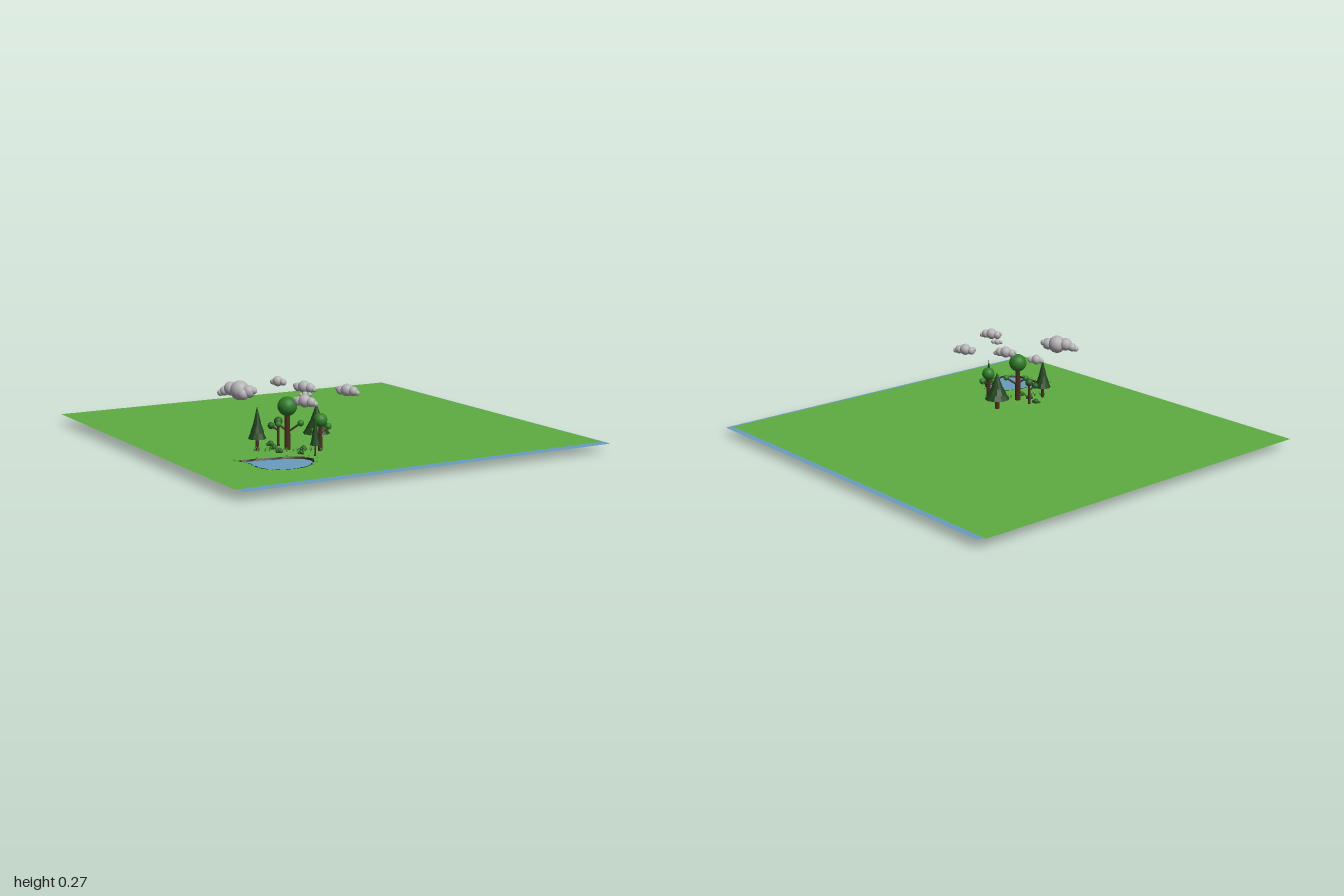
import * as THREE from 'three';

const GROUND_Y = 0.034, WATER_Y = 0.029;
const mat = (color, flat = false, side = THREE.FrontSide) =>
  new THREE.MeshStandardMaterial({ color, flatShading: flat, side });
const M = {
  grass: mat(0x5ead41, false, THREE.DoubleSide),
  water: mat(0x6a9cc0, false, THREE.DoubleSide),
  soil: mat(0x2a1d14, true, THREE.DoubleSide),
  bark: mat(0x4a2f1c),
  needles: mat(0x21451c, true),
  leaves: mat(0x2f7d28),
  bush: mat(0x2b5f22),
  blade: mat(0x4c9636, true, THREE.DoubleSide),
  cloud: mat(0xb5b2b5),
};

function add(parent, name, geometry, material, x = 0, y = 0, z = 0) {
  const mesh = new THREE.Mesh(geometry, material);
  mesh.name = name;
  mesh.position.set(x, y, z);
  parent.add(mesh);
  return mesh;
}

function group(parent, name, x, y, z) {
  const g = new THREE.Group();
  g.name = name;
  g.position.set(x, y, z);
  parent.add(g);
  return g;
}

// Pond outline as [x, z], smoothed through the points
const POND = [[-0.02, 0.625], [0.045, 0.545], [0.14, 0.48], [0.19, 0.497], [0.213, 0.56],
  [0.215, 0.61], [0.18, 0.67], [0.125, 0.695], [0.07, 0.675], [0.03, 0.642]];
const POND_MID = new THREE.Vector2(0.115, 0.6);
const shore = new THREE.CatmullRomCurve3(
  POND.map(([x, z]) => new THREE.Vector3(x, 0, z)), true).getPoints(40).slice(0, 40);

// Flat square turned in plan, with an optional pond opening
function sheet(cx, cz, hole) {
  const half = 0.708, ux = 0.818, uz = 0.575;
  const corners = [[-1, -1], [1, -1], [1, 1], [-1, 1]].map(([a, b]) =>
    new THREE.Vector2(cx + half * (a * ux - b * uz), -(cz + half * (a * uz + b * ux))));
  const shape = new THREE.Shape(corners);
  if (hole) shape.holes.push(new THREE.Path(shore.map((p) => new THREE.Vector2(p.x, -p.z))));
  return new THREE.ShapeGeometry(shape).rotateX(-Math.PI / 2);
}

// Surface through scaled copies of the shoreline: rings are [scale, y]
function pondRings(rings, wobble = 0) {
  const pos = [], idx = [], n = shore.length;
  rings.forEach(([s, y], r) => shore.forEach((p, i) => {
    const k = s + (r ? 0 : wobble * Math.sin(i * 2.3));
    pos.push(POND_MID.x + (p.x - POND_MID.x) * k, y, POND_MID.y + (p.z - POND_MID.y) * k);
  }));
  for (let r = 0; r < rings.length - 1; r++)
    for (let i = 0; i < n; i++) {
      const a = r * n + i, b = r * n + (i + 1) % n;
      idx.push(a, a + n, b, b, a + n, b + n);
    }
  const g = new THREE.BufferGeometry();
  g.setAttribute('position', new THREE.Float32BufferAttribute(pos, 3));
  g.setIndex(idx);
  g.computeVertexNormals();
  return g;
}

function trunk(parent, r, h) {
  add(parent, 'trunk', new THREE.CylinderGeometry(r * 0.75, r, h, 8), M.bark, 0, h / 2, 0);
}

// Conifer: overlapping faceted cones on a short trunk
function conifer(parent, x, z, radius, height) {
  const g = group(parent, 'conifer', x, GROUND_Y, z);
  trunk(g, radius * 0.2, height * 0.4);
  for (let i = 0; i < 3; i++) {
    const r = radius * (1 - i * 0.24), h = height * 0.46;
    const cone = add(g, 'coniferTier', new THREE.ConeGeometry(r, h, 10), M.needles,
      0, height * (0.27 + i * 0.135) + h / 2, 0);
    cone.rotation.y = i * 0.2;
  }
}

// Broadleaf tree: trunk, round crown and small side branches [angle, height, reach, radius]
function broadleaf(parent, x, z, height, radius, branches, leafMat = M.leaves) {
  const g = group(parent, 'broadleafTree', x, GROUND_Y, z);
  trunk(g, Math.max(0.004, radius * 0.34), height - radius);
  add(g, 'crown', new THREE.IcosahedronGeometry(radius, 3), leafMat, 0, height - radius, 0);
  for (const [angle, y, reach, r] of branches) {
    const tip = new THREE.Vector3(Math.cos(angle) * reach, y, Math.sin(angle) * reach);
    const path = new THREE.LineCurve3(new THREE.Vector3(0, y - reach * 0.7, 0), tip);
    add(g, 'branch', new THREE.TubeGeometry(path, 1, 0.0035, 6), M.bark);
    add(g, 'branchLeaves', new THREE.IcosahedronGeometry(r, 2), leafMat, tip.x, tip.y, tip.z);
  }
}

function bush(parent, x, z, r) {
  const g = group(parent, 'bush', x, GROUND_Y, z);
  for (const [dx, dz, s] of [[0, 0, 1], [0.8, 0.3, 0.7], [-0.6, 0.6, 0.65]])
    add(g, 'bushClump', new THREE.IcosahedronGeometry(r * s, 2), M.bush, dx * r, r * s * 0.8, dz * r);
}

function grassTuft(parent, x, z, h) {
  const g = group(parent, 'grassTuft', x, GROUND_Y, z);
  for (let i = 0; i < 5; i++) {
    const blade = add(g, 'grassBlade', new THREE.ConeGeometry(0.0022, h, 3).translate(0, h / 2, 0), M.blade);
    blade.rotation.set(0.45 * Math.sin(i * 1.26), 0, 0.45 * Math.cos(i * 1.26));
  }
}

// Cloud: row of puffs [dx, dy, dz, radius]
function cloud(parent, x, z, puffs) {
  const g = group(parent, 'cloud', x, 0.238, z);
  for (const [dx, dy, dz, r] of puffs)
    add(g, 'cloudPuff', new THREE.SphereGeometry(r, 14, 10), M.cloud, dx, dy, dz);
}

export function createModel() {
  const model = new THREE.Group();
  model.name = 'woodlandScene';

  // Ground, water and pond
  add(model, 'ground', sheet(-0.018, -0.006, true), M.grass, 0, GROUND_Y, 0);
  add(model, 'water', sheet(0.01, -0.008, false), M.water, 0, WATER_Y, 0);
  add(model, 'pondBed', pondRings([[1.0, 0.036], [0.95, 0.027], [0.78, 0.019], [0.55, 0.011],
    [0.3, 0.002], [0.001, 0]], 0.025), M.soil);
  add(model, 'pondBank', pondRings([[1.17, 0.0345], [1.08, 0.037], [0.99, 0.034]], 0.05), M.grass);

  // Trees
  conifer(model, -0.042, 0.445, 0.031, 0.15);
  conifer(model, 0.092, 0.265, 0.047, 0.14);
  conifer(model, 0.17, 0.443, 0.017, 0.135);
  broadleaf(model, 0.042, 0.388, 0.18, 0.033, [[2.8, 0.085, 0.03, 0.011], [-0.4, 0.09, 0.045, 0.011]]);
  broadleaf(model, 0.15, 0.36, 0.128, 0.024, [[-0.9, 0.08, 0.03, 0.011], [2.2, 0.07, 0.025, 0.01]]);
  broadleaf(model, -0.012, 0.347, 0.1, 0.015, [[2.6, 0.07, 0.024, 0.012]], M.bush);

  // Undergrowth
  for (const [x, z, r] of [[0.04, 0.445, 0.009], [0.0, 0.405, 0.01], [0.095, 0.375, 0.009],
    [-0.035, 0.36, 0.01], [0.115, 0.435, 0.008]]) bush(model, x, z, r);
  for (let i = 0; i < 14; i++)
    grassTuft(model, -0.05 + ((i * 0.618) % 1) * 0.22, 0.36 + ((i * 0.383) % 1) * 0.11, 0.014 + (i % 3) * 0.004);
  for (let i = 0; i < 40; i += 3) {
    const p = shore[i], k = 1.1;
    grassTuft(model, POND_MID.x + (p.x - POND_MID.x) * k, POND_MID.y + (p.z - POND_MID.y) * k, 0.008);
  }

  // Clouds
  cloud(model, -0.09, 0.475, [[0, 0.001, 0, 0.033], [-0.035, 0.004, -0.004, 0.024], [0.035, 0, 0.004, 0.022],
    [-0.06, -0.006, -0.004, 0.016], [-0.073, -0.012, 0, 0.011], [0.052, 0.004, 0.002, 0.012], [0.02, -0.008, 0.015, 0.02]]);
  cloud(model, -0.06, 0.252, [[0, 0, 0, 0.018], [0.022, -0.002, 0.003, 0.012], [-0.018, -0.003, 0, 0.01]]);
  for (const [x, z] of [[0.073, 0.322], [0.23, 0.322], [0.19, 0.565]])
    cloud(model, x, z, [[0, 0.001, 0, 0.021], [-0.024, -0.002, -0.004, 0.015], [0.024, -0.001, 0.003, 0.016],
      [0.039, -0.006, 0.004, 0.009], [-0.035, 0.003, -0.004, 0.008]]);
  cloud(model, 0.14, 0.457, [[0, 0, 0, 0.011], [0.015, 0.001, -0.003, 0.008], [-0.014, -0.001, 0.002, 0.007]]);

  return model;
}
